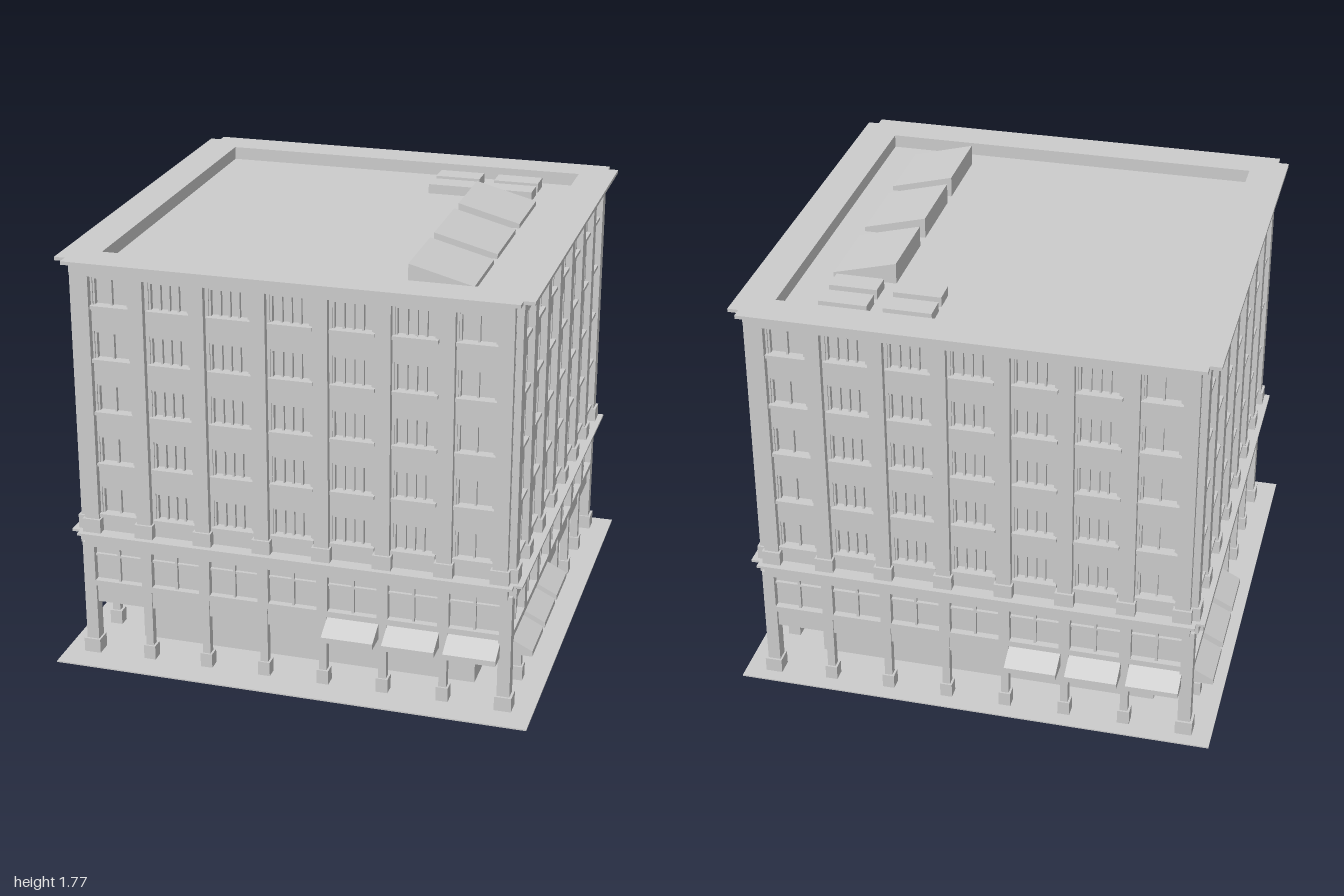
import * as THREE from 'three';

const mat = new THREE.MeshStandardMaterial({ color: 0xcccccc, flatShading: true });

function add(parent, geo, name) {
  const mesh = new THREE.Mesh(geo, mat);
  mesh.name = name;
  parent.add(mesh);
  return mesh;
}

// Box given by its low and high limits on each axis
function box(parent, name, x0, x1, y0, y1, z0, z1) {
  const mesh = add(parent, new THREE.BoxGeometry(x1 - x0, y1 - y0, z1 - z0), name);
  mesh.position.set((x0 + x1) / 2, (y0 + y1) / 2, (z0 + z1) / 2);
  return mesh;
}

const rect = (T, x0, x1, y0, y1) => {
  const s = new T();
  s.moveTo(x0, y0).lineTo(x1, y0).lineTo(x1, y1).lineTo(x0, y1).closePath();
  return s;
};

// Square slab with notched corners; the outline may flare outward to the top
function slab(parent, name, half, notch, y0, y1, flare = 0, hole = 0) {
  const k = half - notch;
  const corner = [[half, -k], [half, k], [k, k], [k, half]];
  const pts = [];
  for (let i = 0; i < 4; i++) {
    const c = Math.round(Math.cos(i * Math.PI / 2)), s = Math.round(Math.sin(i * Math.PI / 2));
    for (const [x, y] of corner.slice(1)) pts.push(new THREE.Vector2(c * x - s * y, s * x + c * y));
  }
  const shape = new THREE.Shape(pts);
  if (hole) shape.holes.push(rect(THREE.Path, -hole, hole, -hole, hole));
  const geo = new THREE.ExtrudeGeometry(shape, { depth: y1 - y0, bevelEnabled: false });
  geo.rotateX(-Math.PI / 2);
  const p = geo.attributes.position;
  for (let i = 0; i < p.count; i++) {
    const x = p.getX(i), z = p.getZ(i);
    if (p.getY(i) > (y1 - y0) / 2 && Math.max(Math.abs(x), Math.abs(z)) > hole + 0.01) {
      p.setX(i, x + Math.sign(x) * flare);
      p.setZ(i, z + Math.sign(z) * flare);
    }
  }
  geo.computeVertexNormals();
  add(parent, geo, name).position.y = y0;
}

// Wall panel with rectangular openings
function panel(parent, name, outer, openings, z0, z1) {
  const shape = rect(THREE.Shape, ...outer);
  for (const o of openings) shape.holes.push(rect(THREE.Path, ...o));
  add(parent, new THREE.ExtrudeGeometry(shape, { depth: z1 - z0, bevelEnabled: false }), name).position.z = z0;
}

const PITCH = 0.2495;
const pierX = [-2.5, -1.5, -0.5, 0.5, 1.5, 2.5].map(i => i * PITCH);

// One street front, facing +z
function facade(awningSide) {
  const g = new THREE.Group();

  // Upper wall with five rows of seven windows
  const openings = [];
  for (let row = 0; row < 5; row++) {
    for (let b = -3; b <= 3; b++) {
      const end = Math.abs(b) === 3;
      const cx = end ? Math.sign(b) * 0.737 : b * 0.248;
      const hw = end ? 0.074 : 0.082, y = 0.645 + row * 0.2245;
      openings.push([cx - hw, cx + hw, y, y + 0.115]);
      const w = new THREE.Group();
      w.name = 'window';
      box(w, 'windowSill', cx - hw - 0.008, cx + hw + 0.008, y - 0.014, y, 0.86, 0.897);
      for (const m of end ? [0] : [-0.038, 0, 0.038])
        box(w, 'mullion', cx + m - 0.004, cx + m + 0.004, y, y + 0.115, 0.85, 0.87);
      for (const s of [-1, 1])
        box(w, 'windowJamb', cx + s * (hw - 0.004) - 0.004, cx + s * (hw - 0.004) + 0.004, y, y + 0.115, 0.85, 0.874);
      box(w, 'windowHead', cx - hw, cx + hw, y + 0.107, y + 0.115, 0.85, 0.874);
      g.add(w);
    }
  }
  panel(g, 'upperWall', [-0.88, 0.88, 0.56, 1.68], openings, 0.85, 0.88);

  // Piers between the bays, each on a pedestal
  for (const x of [-0.849, ...pierX, 0.849]) {
    box(g, 'pier', x - 0.03, x + 0.03, 0.56, 1.68, 0.87, 0.907);
    box(g, 'pierPedestal', x - 0.038, x + 0.038, 0.56, 0.625, 0.87, 0.917);
  }

  // Mezzanine with paired windows and transoms
  const mezz = [];
  for (let b = -3; b <= 3; b++) {
    const cx = b * PITCH;
    mezz.push([cx - 0.102, cx + 0.102, 0.34, 0.495]);
    box(g, 'mezzanineMullion', cx - 0.005, cx + 0.005, 0.34, 0.495, 0.86, 0.886);
    box(g, 'mezzanineTransom', cx - 0.102, cx + 0.102, 0.447, 0.456, 0.86, 0.884);
  }
  panel(g, 'mezzanineWall', [-0.9, 0.9, 0.315, 0.51], mezz, 0.868, 0.9);

  // Arcade beam and columns
  box(g, 'arcadeBeam', -0.85, 0.85, 0.237, 0.32, 0.85, 0.885);
  for (const x of [...pierX, 0.874]) {
    box(g, 'column', x - 0.016, x + 0.016, 0.06, 0.32, 0.858, 0.892);
    box(g, 'columnBase', x - 0.025, x + 0.025, 0, 0.067, 0.848, 0.9);
  }
  // Thicker corner post
  box(g, 'cornerPost', 0.848, 0.9, 0.06, 0.32, 0.848, 0.9);
  box(g, 'cornerPostBase', 0.84, 0.91, 0, 0.067, 0.84, 0.91);

  // Three sloped awnings on one half of the front
  const profile = new THREE.Shape([[0.88, 0.24], [0.978, 0.24], [0.978, 0.263], [0.88, 0.312]]
    .map(p => new THREE.Vector2(...p)));
  for (let i = 0; i < 3; i++) {
    const geo = new THREE.ExtrudeGeometry(profile, { depth: 0.214, bevelEnabled: false });
    geo.rotateY(-Math.PI / 2);
    add(g, geo, 'awning').position.x = awningSide * (0.25 + i * PITCH) + 0.107;
  }
  return g;
}

export function createModel() {
  const model = new THREE.Group();
  model.name = 'officeBlock';
  box(model, 'groundSlab', -0.995, 0.99, 0, 0.006, -0.99, 0.998);

  const building = new THREE.Group();
  building.name = 'building';
  building.position.set(-0.006, 0, -0.024);
  model.add(building);

  // Inner volumes
  box(building, 'shopCore', -0.717, 0.717, 0, 0.32, -0.717, 0.717);
  box(building, 'mezzanineCore', -0.87, 0.87, 0.315, 0.52, -0.87, 0.87);
  box(building, 'upperCore', -0.853, 0.853, 0.5, 1.68, -0.853, 0.853);

  ['frontFacade', 'rightFacade', 'backFacade', 'leftFacade'].forEach((name, i) => {
    const f = facade(i % 2 ? -1 : 1);
    f.name = name;
    f.rotation.y = i * Math.PI / 2;
    building.add(f);
  });

  // Belt course and middle cornice
  slab(building, 'beltCourse', 0.913, 0.03, 0.5, 0.545);
  slab(building, 'middleCornice', 0.915, 0.03, 0.545, 0.556, 0.02);
  slab(building, 'middleCorniceCap', 0.94, 0.035, 0.556, 0.566);

  // Frieze, top cornice and parapet around the sunken roof
  slab(building, 'frieze', 0.909, 0.03, 1.668, 1.715, 0, 0.797);
  slab(building, 'topCornice', 0.915, 0.04, 1.712, 1.724, 0.03, 0.797);
  slab(building, 'parapetCap', 0.953, 0.045, 1.722, 1.736, 0, 0.797);
  box(building, 'roofDeck', -0.85, 0.85, 1.65, 1.681, -0.85, 0.85);

  // Three sloped roof units, high on the -x edge
  const wedge = new THREE.Shape([[0.41, 1.67], [0.67, 1.67], [0.67, 1.7], [0.41, 1.768]]
    .map(p => new THREE.Vector2(...p)));
  for (const z of [-0.485, -0.07, 0.335])
    add(model, new THREE.ExtrudeGeometry(wedge, { depth: 0.34, bevelEnabled: false }), 'slopedRoofUnit').position.z = z;

  // Four low roof boxes
  for (const x of [0.185, 0.445])
    for (const z of [-0.765, -0.63])
      box(model, 'roofBox', x, x + 0.195, 1.67, 1.722, z, z + 0.097);

  return model;
}
